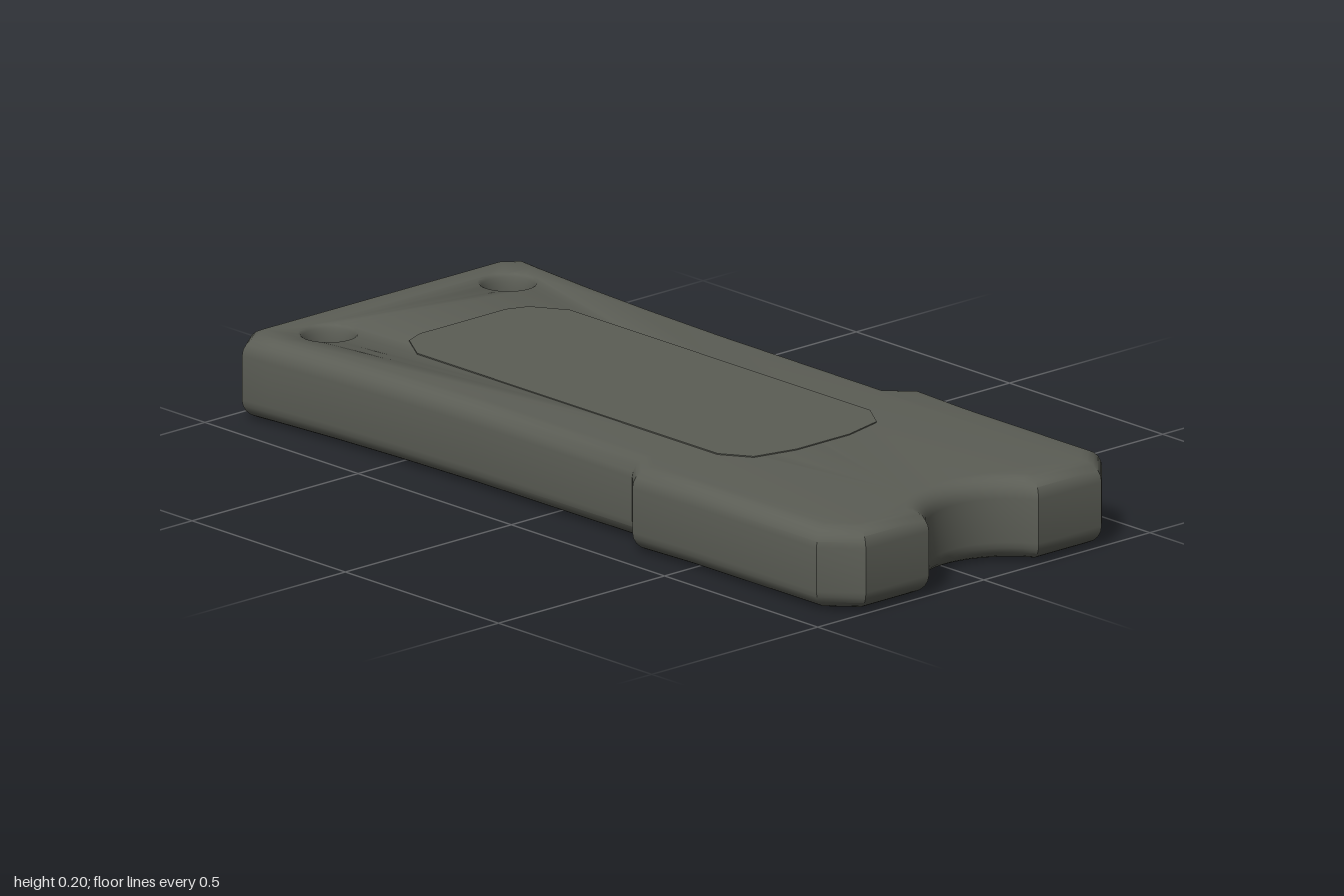
import * as THREE from 'three';
import { toCreasedNormals } from 'three/addons/utils/BufferGeometryUtils.js';

const HOLE_X = -0.845, HOLE_Z = 0.27, HOLE_R = 0.054;
const BEVEL = 0.045;

// Mirrors one half outline (x, z) across z = 0 into a closed shape
function mirroredShape(half) {
  const other = half.map(([x, z]) => [x, -z]).reverse();
  return new THREE.Shape([...half, ...other].map(([x, z]) => new THREE.Vector2(x, z)));
}

// Lays an extrusion flat so that it spans y = bottom upward
function layFlat(geometry, bottom) {
  geometry.rotateX(-Math.PI / 2);
  geometry.computeBoundingBox();
  geometry.translate(0, bottom - geometry.boundingBox.min.y, 0);
  return geometry;
}

function bodyGeometry() {
  // Half outline: flared end, slim waist, wide grip, chamfered corner
  const half = [
    [-1, -0.37], [-0.955, -0.43], [-0.88, -0.422], [-0.7, -0.407], [-0.5, -0.396],
    [-0.25, -0.388], [0.27, -0.385], [0.33, -0.44], [0.5, -0.431], [0.92, -0.43], [1, -0.355],
  ];
  // Round finger notch in the end
  const r = 0.186, cx = 1.086, start = Math.asin(0.165 / r), steps = 8;
  for (let i = 0; i < steps; i++) {
    const a = start * (1 - (i + 0.5) / steps);
    half.push(i === 0 ? [1, -0.165] : [cx - r * Math.cos(a), -r * Math.sin(a)]);
  }
  const shape = mirroredShape(half);
  for (const s of [-1, 1]) {
    const hole = new THREE.Path();
    hole.absarc(HOLE_X, s * HOLE_Z, HOLE_R, 0, Math.PI * 2, true);
    shape.holes.push(hole);
  }
  const geometry = new THREE.ExtrudeGeometry(shape, {
    depth: 0.192 - 2 * BEVEL, bevelThickness: BEVEL, bevelSize: BEVEL,
    bevelOffset: -BEVEL, bevelSegments: 5, curveSegments: 16,
  });
  // Narrow the rounded mouths of the two holes
  const p = geometry.attributes.position;
  for (let i = 0; i < p.count; i++) {
    const cz = Math.sign(p.getY(i)) * HOLE_Z;
    const dx = p.getX(i) - HOLE_X, dz = p.getY(i) - cz, d = Math.hypot(dx, dz);
    if (d < HOLE_R + BEVEL + 0.003) {
      const k = (HOLE_R + 0.3 * (d - HOLE_R)) / d;
      p.setXY(i, HOLE_X + dx * k, cz + dz * k);
    }
  }
  return toCreasedNormals(layFlat(geometry, 0.004), 0.7);
}

function panelGeometry() {
  const half = [
    [-0.7, -0.13], [-0.68, -0.18], [-0.6, -0.23], [0.38, -0.23], [0.45, -0.185], [0.475, -0.08],
  ];
  return new THREE.ExtrudeGeometry(mirroredShape(half), { depth: 0.003, bevelEnabled: false });
}

export function createModel() {
  const group = new THREE.Group();
  const casing = new THREE.MeshStandardMaterial({ color: 0x5b5d55 });
  casing.name = 'dark olive grey';

  const body = new THREE.Mesh(bodyGeometry(), casing);
  body.name = 'body';
  group.add(body);

  // Thin panels, barely proud of both broad faces
  for (const [name, y] of [['topPanel', 0.1955], ['bottomPanel', 0.0015]]) {
    const panel = new THREE.Mesh(layFlat(panelGeometry(), y), casing);
    panel.name = name;
    group.add(panel);
  }
  return group;
}
